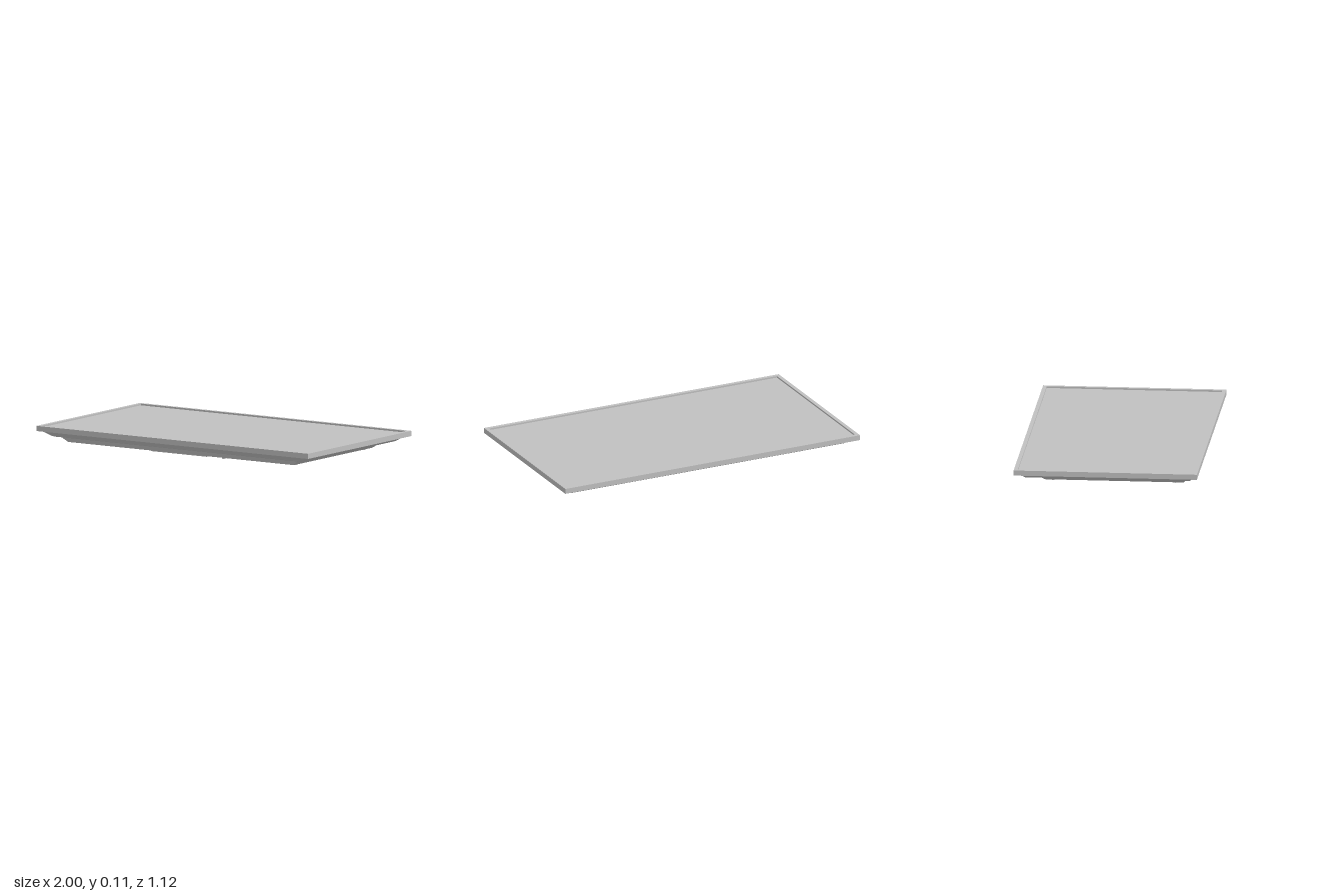
import * as THREE from 'three';

const grey = new THREE.MeshStandardMaterial({ color: 0xc0c0c0 });
grey.name = 'casing grey';

function mesh(name, geometry, parent) {
  const m = new THREE.Mesh(geometry, grey);
  m.name = name;
  parent.add(m);
  return m;
}

// Joins rectangles [x0, x1, z0, z1, y]; the last one is closed facing down
function loft(rects, cap = true) {
  const pos = [];
  const rings = rects.map(([x0, x1, z0, z1, y]) =>
    [[x0, y, z0], [x1, y, z0], [x1, y, z1], [x0, y, z1]]);
  const tri = (a, b, c) => pos.push(...a, ...b, ...c);
  for (let r = 0; r < rings.length - 1; r++) {
    const A = rings[r], B = rings[r + 1];
    for (let i = 0; i < 4; i++) {
      const j = (i + 1) % 4;
      tri(A[i], A[j], B[j]);
      tri(A[i], B[j], B[i]);
    }
  }
  if (cap) {
    const E = rings[rings.length - 1];
    tri(E[0], E[1], E[2]);
    tri(E[0], E[2], E[3]);
  }
  const g = new THREE.BufferGeometry();
  g.setAttribute('position', new THREE.Float32BufferAttribute(pos, 3));
  g.computeVertexNormals();
  return g;
}

function rectPath(P, x0, x1, z0, z1) {
  const p = new P();
  p.moveTo(x0, z0);
  p.lineTo(x1, z0);
  p.lineTo(x1, z1);
  p.lineTo(x0, z1);
  p.closePath();
  return p;
}

// Small block hanging below a surface
const block = (x, z, w, d, top, bottom, taper = 0) => loft([
  [x - w / 2, x + w / 2, z - d / 2, z + d / 2, top],
  [x - w / 2 + taper, x + w / 2 - taper, z - d / 2 + taper, z + d / 2 - taper, bottom]]);

function stud(name, x, z, r, top, bottom, parent) {
  mesh(name, new THREE.CylinderGeometry(r, r, top - bottom, 16), parent)
    .position.set(x, (top + bottom) / 2, z);
}

export function createModel() {
  const model = new THREE.Group();
  model.name = 'flatScreen';

  // Bezel and recessed screen
  const outline = rectPath(THREE.Shape, -1, 1, -0.56, 0.56);
  outline.holes.push(rectPath(THREE.Path, -0.976, 0.976, -0.536, 0.536));
  const bezel = new THREE.ExtrudeGeometry(outline, { depth: 0.032, bevelEnabled: false });
  bezel.rotateX(Math.PI / 2).translate(0, 0.11, 0);
  mesh('bezel', bezel, model);
  mesh('screen', new THREE.BoxGeometry(1.952, 0.022, 1.072), model).position.y = 0.089;

  // Upper back shell with a rounded lower edge
  mesh('backShell', loft([
    [-0.97, 0.97, -0.526, 0.543, 0.078],
    [-0.934, 0.934, -0.504, 0.515, 0.055],
    [-0.922, 0.922, -0.496, 0.507, 0.048],
    [-0.905, 0.905, -0.486, 0.498, 0.044],
    [-0.885, 0.885, -0.472, 0.485, 0.043]]), model);

  // Lower back housing: sloped sides and a floor with an opening for the ports
  const floorY = 0.0135;
  mesh('housingSides', loft([
    [-0.87, 0.87, -0.414, 0.482, 0.043],
    [-0.83, 0.83, -0.385, 0.465, floorY]], false), model);
  const floor = rectPath(THREE.Shape, -0.83, 0.83, -0.385, 0.465);
  floor.holes.push(rectPath(THREE.Path, -0.795, -0.335, -0.07, 0.092));
  mesh('housingFloor', new THREE.ShapeGeometry(floor)
    .rotateX(Math.PI / 2).translate(0, floorY, 0), model);

  // Port recess with its connectors
  const ports = new THREE.Group();
  ports.name = 'ports';
  model.add(ports);
  mesh('portRecess', loft([
    [-0.795, -0.335, -0.07, 0.092, floorY],
    [-0.78, -0.35, -0.058, 0.08, 0.033]]), ports);
  for (const x of [-0.405, -0.455, -0.505]) {
    stud('roundSocket', x, 0.05, 0.016, 0.034, 0.012, ports);
    stud('socketPin', x, 0.05, 0.009, 0.034, 0.005, ports);
  }
  for (const x of [-0.575, -0.65, -0.725])
    mesh('flatSocket', block(x, 0.05, 0.05, 0.02, 0.034, 0.02), ports);
  for (let i = 0; i < 4; i++)
    for (const z of [-0.035, -0.005])
      mesh('smallSocket', block(-0.385 - i * 0.035, z, 0.025, 0.018, 0.034, 0.024), ports);

  // Raised panels
  mesh('raisedPanel', block(0.48, 0.055, 0.46, 0.15, floorY, 0.003, 0.008), model);
  mesh('accessCover', block(-0.025, 0.37, 0.41, 0.16, floorY, 0.007), model);
  for (const x of [0.135, -0.185]) stud('coverScrew', x, 0.315, 0.01, floorY, 0.003, model);

  // Screws around the housing floor
  for (const x of [-0.8, -0.32, 0.28, 0.8])
    for (const z of [-0.335, 0.41]) stud('screw', x, z, 0.013, floorY, x === 0.28 && z > 0 ? 0 : 0.006, model);

  // Row of vent ribs along the rear slope
  const vent = new THREE.Group();
  vent.name = 'vent';
  vent.position.set(0, 0.028, -0.3995);
  vent.rotation.x = -Math.atan2(0.029, 0.0295);
  model.add(vent);
  const rib = new THREE.BoxGeometry(0.01, 0.034, 0.007);
  for (let i = 0; i < 44; i++) {
    mesh('ventRib', rib, vent).position.x = (i - 21.5) * 0.0205;
  }

  return model;
}
